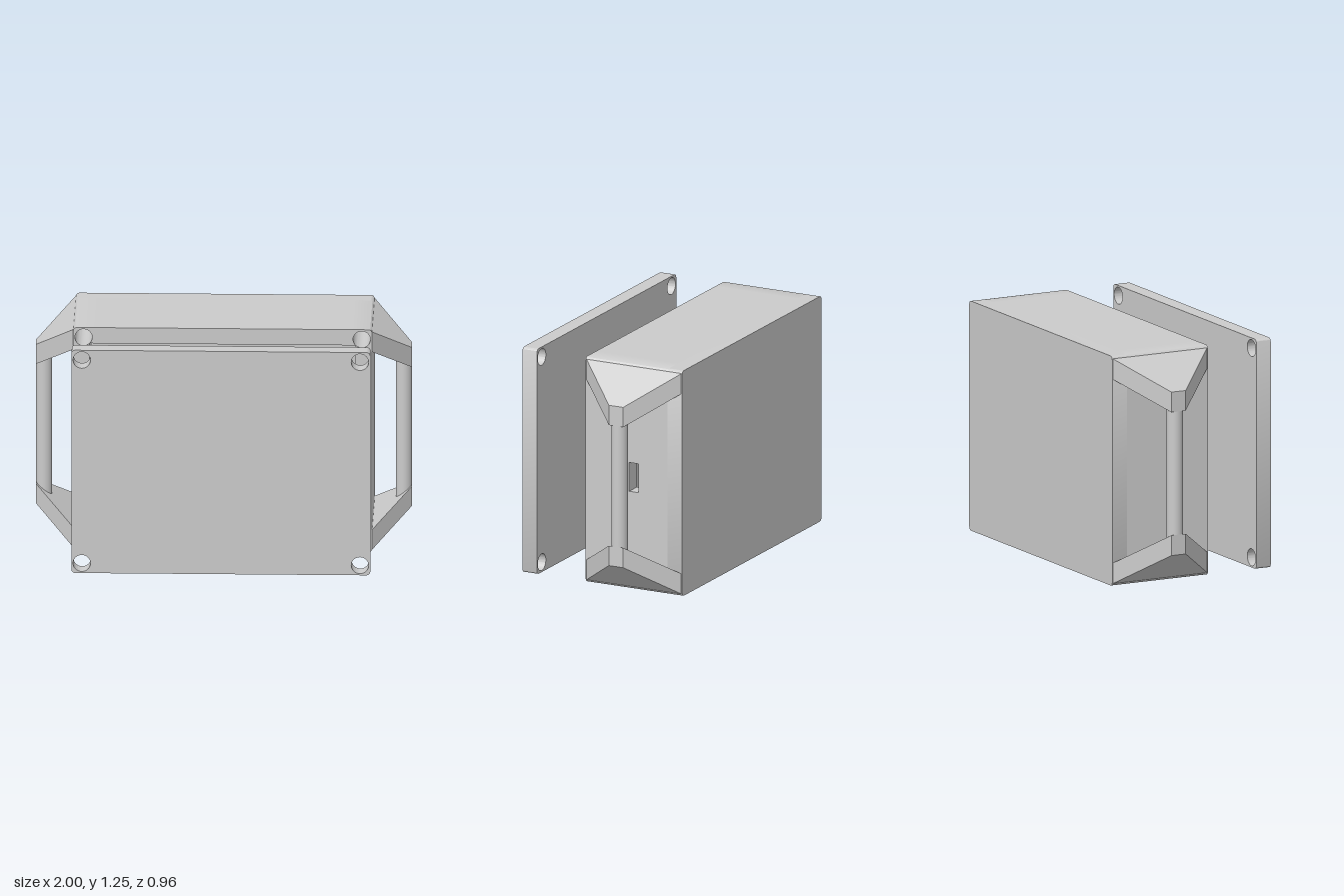
import * as THREE from 'three';
import { toCreasedNormals } from 'three/addons/utils/BufferGeometryUtils.js';
import { ConvexGeometry } from 'three/addons/geometries/ConvexGeometry.js';

const W = 0.795, H = 1.25;            // half width and height of the box
const BACK = -0.48, FRONT = 0.1;      // box depth range
const WALL = 0.088, POST = 0.115;     // wall thickness, corner post leg
const HOLE = 0.0462, INSET = 0.055;   // screw hole radius, distance from edges
const ROUND = 0.02;                   // outer edge rounding
const MID_Z = -0.19;

const material = new THREE.MeshStandardMaterial({ color: 0xcccccc });

function addMesh(group, name, geometry) {
  const mesh = new THREE.Mesh(geometry, material);
  mesh.name = name;
  group.add(mesh);
  return mesh;
}

function extrude(shape, depth) {
  const geo = new THREE.ExtrudeGeometry(shape, { depth, bevelEnabled: false, curveSegments: 24 });
  return toCreasedNormals(geo, 0.6);
}

function rectangle(x0, x1, y0, y1, Kind = THREE.Shape) {
  return new Kind().moveTo(x0, y0).lineTo(x1, y0).lineTo(x1, y1).lineTo(x0, y1).closePath();
}

function circleHole(x, y) {
  return new THREE.Path().absarc(x, y, HOLE, 0, Math.PI * 2, true);
}

// Rounded outline shared by the lid and the back wall
function outline() {
  const s = new THREE.Shape();
  s.absarc(W - ROUND, ROUND, ROUND, -Math.PI / 2, 0);
  s.absarc(W - ROUND, H - ROUND, ROUND, 0, Math.PI / 2);
  s.absarc(-W + ROUND, H - ROUND, ROUND, Math.PI / 2, Math.PI);
  s.absarc(-W + ROUND, ROUND, ROUND, Math.PI, Math.PI * 1.5);
  s.closePath();
  return s;
}

// Flat wall in absolute coordinates, with rectangular slots [x0, x1, y0, y1]
function panel(x0, x1, y0, y1, slots = []) {
  const s = rectangle(x0, x1, y0, y1);
  for (const slot of slots) s.holes.push(rectangle(...slot, THREE.Path));
  return extrude(s, WALL);
}

// L-shaped corner post with a screw hole; its outer corner is the origin
function cornerPost(depth) {
  const s = new THREE.Shape();
  s.moveTo(-POST, -WALL).lineTo(-WALL, -WALL).lineTo(-WALL, -POST).lineTo(0, -POST);
  s.absarc(-ROUND, -ROUND, ROUND, 0, Math.PI / 2);
  s.lineTo(-POST, 0).closePath();
  s.holes.push(circleHole(-INSET, -INSET));
  return extrude(s, depth);
}

function createBox() {
  const box = new THREE.Group();
  box.name = 'box';
  const inner = BACK + WALL;

  addMesh(box, 'backWall', extrude(outline(), WALL)).position.z = BACK;

  // Corner posts, turned a quarter for each corner
  [[W, H], [-W, H], [-W, 0], [W, 0]].forEach(([x, y], i) => {
    const post = addMesh(box, 'cornerPost', cornerPost(FRONT - inner));
    post.position.set(x, y, inner);
    post.rotation.z = i * Math.PI / 2;
  });

  // Top and bottom walls; the bottom has two cable slots
  const wx = W - POST;
  const top = panel(-wx, wx, inner, FRONT).rotateX(Math.PI / 2);
  addMesh(box, 'topWall', top).position.y = H;
  const bottomSlots = [[0.333, 0.56, -0.375, -0.272], [-0.567, -0.333, -0.378, -0.24]];
  const bottom = panel(-wx, wx, inner, FRONT, bottomSlots).rotateX(Math.PI / 2);
  addMesh(box, 'bottomWall', bottom).position.y = WALL;

  // Side walls; the left one has a small upright slot
  const sideSlot = [[-0.218, -0.161, 0.54, 0.7]];
  const left = panel(inner, FRONT, POST, H - POST, sideSlot).rotateY(-Math.PI / 2);
  addMesh(box, 'leftWall', left).position.x = W;
  const right = panel(inner, FRONT, POST, H - POST).rotateY(-Math.PI / 2);
  addMesh(box, 'rightWall', right).position.x = -W + WALL;
  return box;
}

// Sloping bracket that tapers from the box side to the grip bar
function bracket(side, upper) {
  const points = [];
  const ends = [
    [W - 0.005, 1.128, 1.24, BACK, FRONT],
    [1, 0.96, 1.07, MID_Z - 0.043, MID_Z + 0.043],
  ];
  for (const [x, y0, y1, z0, z1] of ends)
    for (const y of [y0, y1])
      for (const z of [z0, z1])
        points.push(new THREE.Vector3(side * x, upper ? y : H - y, z));
  return new ConvexGeometry(points);
}

function createHandle(side) {
  const handle = new THREE.Group();
  handle.name = side > 0 ? 'leftHandle' : 'rightHandle';
  addMesh(handle, 'upperBracket', bracket(side, true));
  addMesh(handle, 'lowerBracket', bracket(side, false));
  const bar = addMesh(handle, 'gripBar', new THREE.CylinderGeometry(0.043, 0.043, 0.83, 32));
  bar.position.set(side * 0.957, H / 2, MID_Z);
  return handle;
}

export function createModel() {
  const model = new THREE.Group();
  model.name = 'enclosure';
  model.add(createBox(), createHandle(1), createHandle(-1));

  // Lid held away from the open front
  const lidShape = outline();
  for (const x of [-W + INSET, W - INSET])
    for (const y of [INSET, H - INSET]) lidShape.holes.push(circleHole(x, y));
  addMesh(model, 'lid', extrude(lidShape, 0.087)).position.z = 0.393;
  return model;
}
